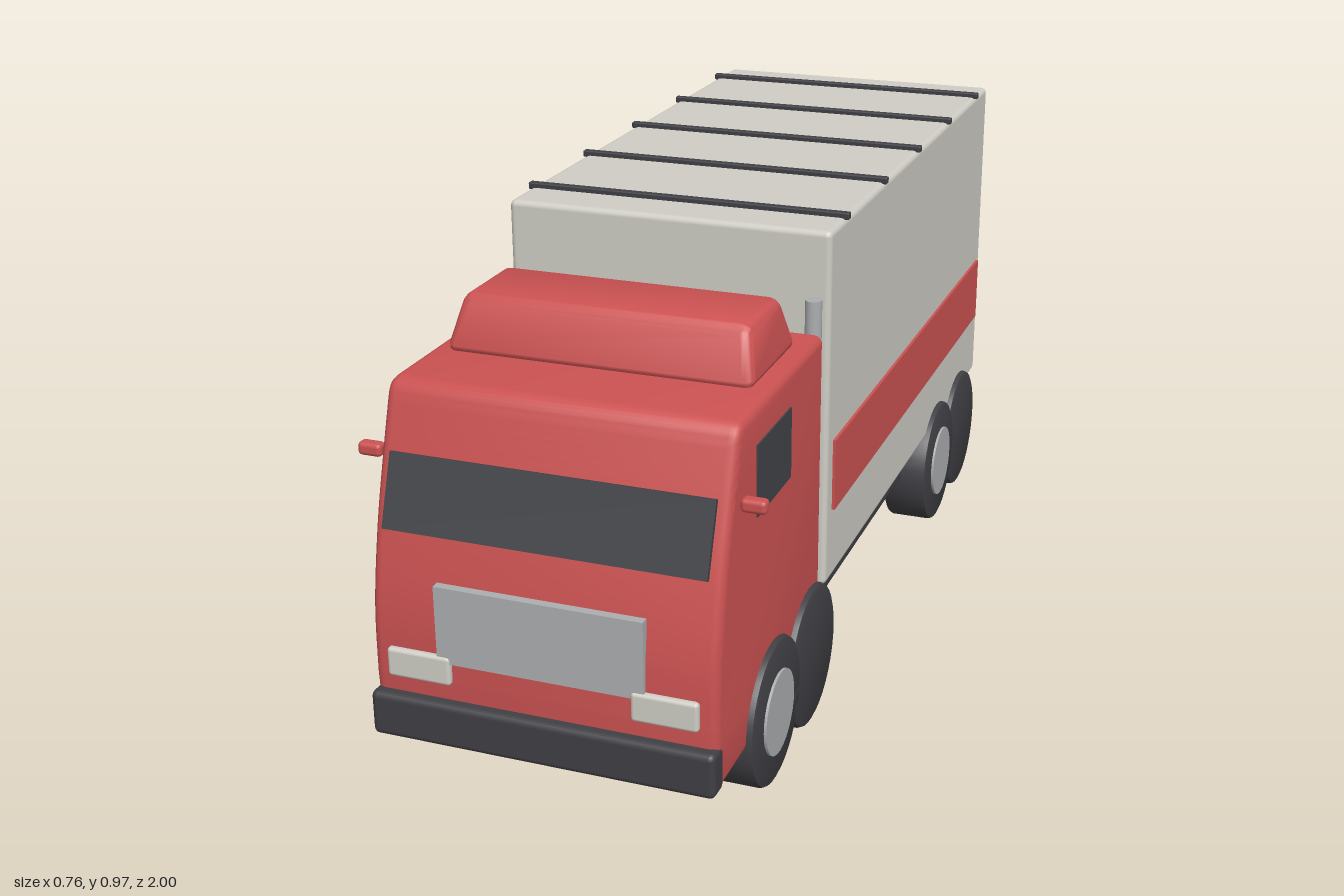
import * as THREE from 'three';
import { toCreasedNormals } from 'three/addons/utils/BufferGeometryUtils.js';
import { RoundedBoxGeometry } from 'three/addons/geometries/RoundedBoxGeometry.js';

const material = (name, color) => {
  const m = new THREE.MeshStandardMaterial({ color });
  m.name = name;
  return m;
};

export function createModel() {
  const red = material('red paint', 0xcc5252);
  const cream = material('cream panel', 0xcfcdc5);
  const dark = material('dark rubber', 0x403f44);
  const glass = material('dark glass', 0x424448);
  const silver = material('silver metal', 0xacaeb0);

  const truck = new THREE.Group();
  truck.name = 'truck';

  const add = (name, geometry, mat, x = 0, y = 0, z = 0) => {
    const mesh = new THREE.Mesh(geometry, mat);
    mesh.name = name;
    mesh.position.set(x, y, z);
    truck.add(mesh);
    return mesh;
  };
  // Box given by its limits on each axis, with optional edge rounding
  const block = (name, mat, [x0, x1], [y0, y1], [z0, z1], r = 0) => {
    const size = [x1 - x0, y1 - y0, z1 - z0];
    const geometry = r ? new RoundedBoxGeometry(...size, 2, r) : new THREE.BoxGeometry(...size);
    return add(name, geometry, mat, (x0 + x1) / 2, (y0 + y1) / 2, (z0 + z1) / 2);
  };

  // Chassis, cargo box and bumper
  block('chassis', dark, [-0.28, 0.28], [0.142, 0.227], [-0.955, 0.5], 0.01);
  block('cargoBox', cream, [-0.325, 0.325], [0.235, 0.957], [-0.925, 0.365], 0.012);
  block('bumper', dark, [-0.326, 0.326], [0.135, 0.222], [0.947, 0.998], 0.012);

  // Roof ribs across the cargo box
  for (let i = 0; i < 5; i++) {
    const z = 0.26 - i * 0.2675;
    block('roofRib', dark, [-0.329, 0.329], [0.953, 0.967], [z - 0.008, z + 0.008], 0.003);
  }

  // Cab: side profile with a curved front, extruded across and bevelled
  const profile = new THREE.Shape();
  profile.moveTo(0.398, 0.135);
  profile.lineTo(0.97, 0.135);
  profile.lineTo(0.977, 0.25);
  profile.splineThru([[0.972, 0.38], [0.945, 0.52], [0.91, 0.64], [0.877, 0.74]]
    .map(([z, y]) => new THREE.Vector2(z, y)));
  profile.quadraticCurveTo(0.867, 0.772, 0.84, 0.772);
  profile.lineTo(0.415, 0.772);
  profile.quadraticCurveTo(0.398, 0.772, 0.398, 0.755);
  const bevel = 0.018;
  const cab = new THREE.ExtrudeGeometry(profile, {
    depth: 0.65 - 2 * bevel, curveSegments: 6, bevelEnabled: true,
    bevelSize: bevel, bevelThickness: bevel, bevelOffset: -bevel, bevelSegments: 3,
  });
  cab.translate(0, 0, -(0.65 - 2 * bevel) / 2);
  cab.rotateY(-Math.PI / 2);
  add('cab', toCreasedNormals(cab, 0.6), red);

  // Roof fairing: rounded box narrowed towards the top
  const fairing = new RoundedBoxGeometry(0.59, 0.105, 0.25, 3, 0.02);
  const p = fairing.attributes.position;
  for (let i = 0; i < p.count; i++) {
    const t = p.getY(i) / 0.105 + 0.5;
    p.setX(i, p.getX(i) * (1 - 0.08 * t));
    p.setZ(i, p.getZ(i) * (1 - 0.34 * t) - 0.006 * t);
  }
  add('roofFairing', toCreasedNormals(fairing, 0.7), red, 0, 0.82, 0.59);

  // Windscreen, tilted with the cab front
  const windscreen = add('windscreen', new THREE.BoxGeometry(0.602, 0.136, 0.009), glass, 0, 0.591, 0.933);
  windscreen.rotation.x = -0.34;

  // Grille and exhaust stack
  block('grille', silver, [-0.195, 0.195], [0.297, 0.445], [0.966, 0.983]);
  add('exhaustStack', new THREE.CylinderGeometry(0.016, 0.016, 0.383, 16), silver, 0.298, 0.639, 0.382);

  // Tyre: turned profile with softened shoulders
  const tyre = toCreasedNormals(new THREE.LatheGeometry([
    [0, -0.05], [0.131, -0.05], [0.138, -0.047], [0.141, -0.04],
    [0.141, 0.04], [0.138, 0.047], [0.131, 0.05], [0, 0.05],
  ].map(([r, h]) => new THREE.Vector2(r, h)), 36), 0.6);
  tyre.rotateZ(Math.PI / 2);
  const hub = new THREE.CylinderGeometry(0.081, 0.081, 0.1, 28);
  hub.rotateZ(Math.PI / 2);

  // Parts found on both sides
  for (const s of [1, -1]) {
    const side = (a, b) => (s > 0 ? [a, b] : [-b, -a]);
    for (const z of [0.693, 0.473, -0.527, -0.743]) add('tyre', tyre, dark, s * 0.288, 0.142, z);
    for (const z of [0.693, -0.527]) add('wheelHub', hub, silver, s * 0.293, 0.142, z);
    block('sideWindow', glass, side(0.32, 0.328), [0.57, 0.704], [0.6, 0.783]);
    block('sideStripe', red, side(0.323, 0.331), [0.386, 0.532], [-0.89, 0.329]);
    block('headlight', cream, side(0.17, 0.293), [0.254, 0.31], [0.958, 0.987], 0.007);
    block('mirror', red, side(0.333, 0.379), [0.628, 0.653], [0.868, 0.893], 0.008);
    block('tailLight', red, side(0.21, 0.298), [0.23, 0.272], [-1, -0.986], 0.004);
  }

  return truck;
}
